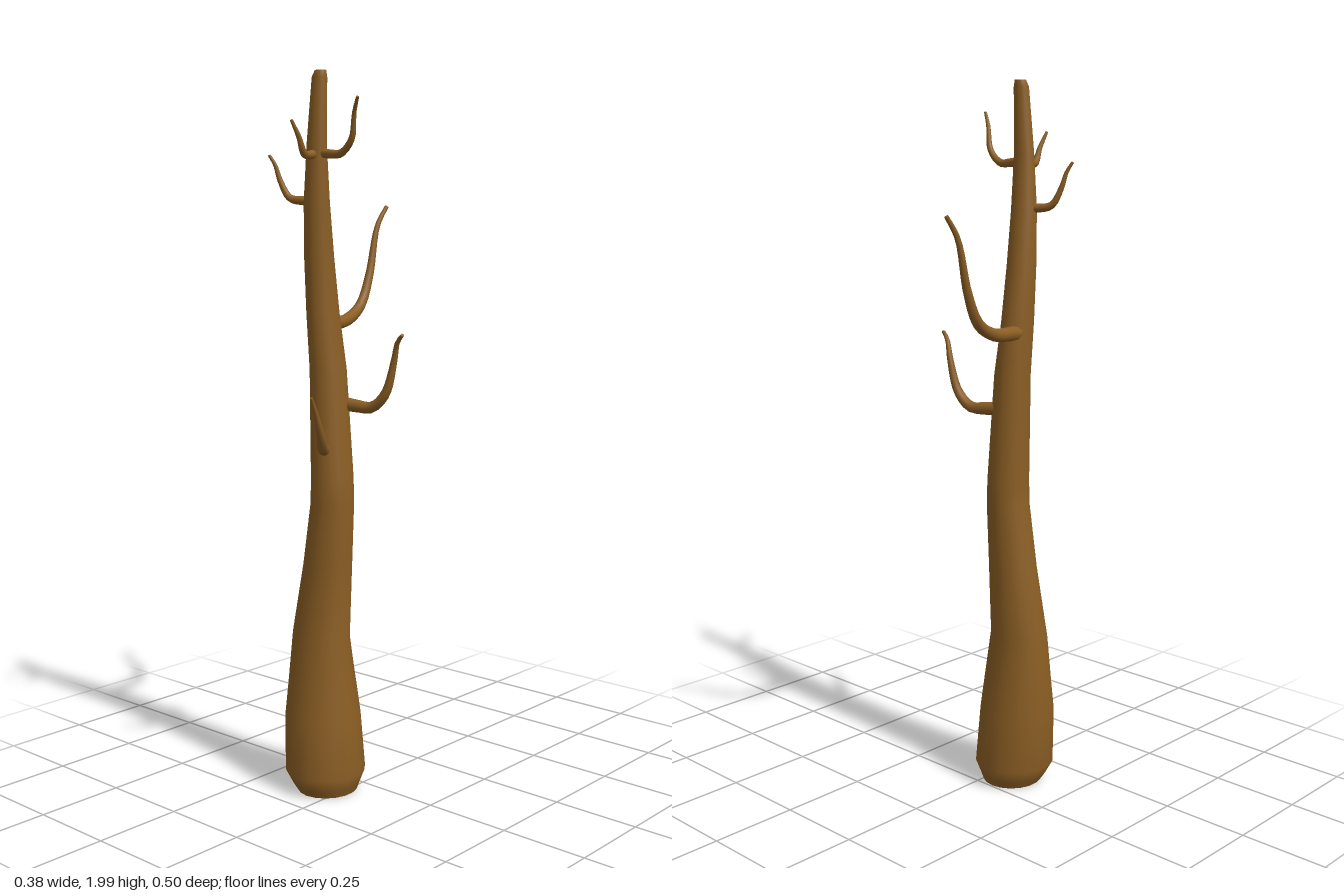
import * as THREE from 'three';

const bark = new THREE.MeshStandardMaterial({ color: 0x8b5e24, roughness: 0.9 });

// Skin a list of rings { c: centre, u, v: radius vectors }; both ends get a flat cap.
function loft(name, rings, sides) {
  const pos = [], index = [];
  const addRing = ({ c, u, v }) => {
    for (let j = 0; j < sides; j++) {
      const a = (j / sides) * Math.PI * 2;
      const p = c.clone().addScaledVector(u, Math.cos(a)).addScaledVector(v, Math.sin(a));
      pos.push(p.x, p.y, p.z);
    }
  };
  rings.forEach(addRing);
  for (let i = 0; i < rings.length - 1; i++) {
    for (let j = 0; j < sides; j++) {
      const k = (j + 1) % sides, a = i * sides, b = a + sides;
      index.push(a + j, a + k, b + k, a + j, b + k, b + j);
    }
  }
  // caps use their own vertices so the rims stay sharp
  [rings[0], rings[rings.length - 1]].forEach((ring, end) => {
    const s = pos.length / 3;
    addRing(ring);
    pos.push(ring.c.x, ring.c.y, ring.c.z);
    for (let j = 0; j < sides; j++) {
      const k = (j + 1) % sides;
      if (end) index.push(s + sides, s + j, s + k);
      else index.push(s + sides, s + k, s + j);
    }
  });
  const geo = new THREE.BufferGeometry();
  geo.setAttribute('position', new THREE.Float32BufferAttribute(pos, 3));
  geo.setIndex(index);
  geo.computeVertexNormals();
  const mesh = new THREE.Mesh(geo, bark);
  mesh.name = name;
  return mesh;
}

// Tapered branch along a smooth path, from radius r0 to r1.
function branch(name, points, r0, r1) {
  const curve = new THREE.CatmullRomCurve3(points.map(p => new THREE.Vector3(...p)));
  const n = 18, frames = curve.computeFrenetFrames(n, false);
  const rings = [];
  for (let i = 0; i <= n; i++) {
    const r = THREE.MathUtils.lerp(r0, r1, i / n);
    rings.push({
      c: curve.getPointAt(i / n),
      u: frames.normals[i].clone().multiplyScalar(r),
      v: frames.binormals[i].clone().multiplyScalar(r),
    });
  }
  return loft(name, rings, 10);
}

export function createModel() {
  const tree = new THREE.Group();
  tree.name = 'bareTree';

  // trunk outline per height: y, x min, x max, z min, z max
  const outline = [
    [0, -0.135, 0.03, 0.005, 0.18],
    [0.02, -0.148, 0.038, -0.003, 0.192],
    [0.06, -0.17, 0.054, -0.02, 0.211],
    [0.22, -0.178, 0.043, -0.01, 0.2],
    [0.45, -0.165, 0.012, 0.02, 0.163],
    [0.65, -0.128, 0.018, 0.023, 0.151],
    [0.83, -0.099, 0.025, 0.026, 0.146],
    [0.9, -0.098, 0.022, 0.026, 0.144],
    [1.2, -0.1, -0.004, 0.031, 0.139],
    [1.35, -0.105, -0.02, 0.045, 0.142],
    [1.5, -0.105, -0.023, 0.065, 0.147],
    [1.65, -0.097, -0.023, 0.085, 0.153],
    [1.8, -0.081, -0.021, 0.104, 0.152],
    [1.975, -0.063, -0.02, 0.106, 0.146],
    [1.993, -0.056, -0.024, 0.109, 0.138],
  ];
  tree.add(loft('trunk', outline.map(([y, x0, x1, z0, z1]) => ({
    c: new THREE.Vector3((x0 + x1) / 2, y, (z0 + z1) / 2),
    u: new THREE.Vector3(0, 0, (z1 - z0) / 2),
    v: new THREE.Vector3((x1 - x0) / 2, 0, 0),
  })), 18));

  // branches: each leaves the trunk level, then sweeps upward
  tree.add(
    branch('backBranch', [[-0.08, 1.32, 0.07], [-0.087, 1.32, 0.03], [-0.1, 1.327, -0.045], [-0.115, 1.365, -0.12],
      [-0.123, 1.45, -0.167], [-0.128, 1.59, -0.208], [-0.123, 1.645, -0.243]], 0.021, 0.006),
    branch('leftMiddleBranch', [[-0.03, 1.105, 0.055], [0.02, 1.1, 0.047], [0.07, 1.1, 0.043], [0.115, 1.14, 0.039],
      [0.143, 1.23, 0.036], [0.16, 1.28, 0.043], [0.185, 1.302, 0.052]], 0.02, 0.005),
    branch('leftUpperBranch', [[-0.05, 1.78, 0.125], [0, 1.775, 0.13], [0.045, 1.775, 0.136], [0.085, 1.81, 0.14],
      [0.103, 1.875, 0.15], [0.127, 1.912, 0.164]], 0.014, 0.004),
    branch('rightUpperBranch', [[-0.065, 1.655, 0.12], [-0.1, 1.655, 0.131], [-0.14, 1.663, 0.141],
      [-0.165, 1.71, 0.152], [-0.175, 1.75, 0.16], [-0.188, 1.777, 0.17]], 0.014, 0.004),
    branch('frontUpperBranch', [[-0.05, 1.78, 0.125], [-0.043, 1.772, 0.165], [-0.034, 1.775, 0.195],
      [-0.03, 1.815, 0.217], [-0.035, 1.858, 0.24]], 0.014, 0.004),
    branch('frontLowerBranch', [[-0.035, 0.98, 0.115], [-0.012, 0.99, 0.15], [0.012, 1.03, 0.185],
      [0.028, 1.095, 0.22], [0.035, 1.14, 0.244]], 0.018, 0.004),
  );
  return tree;
}
